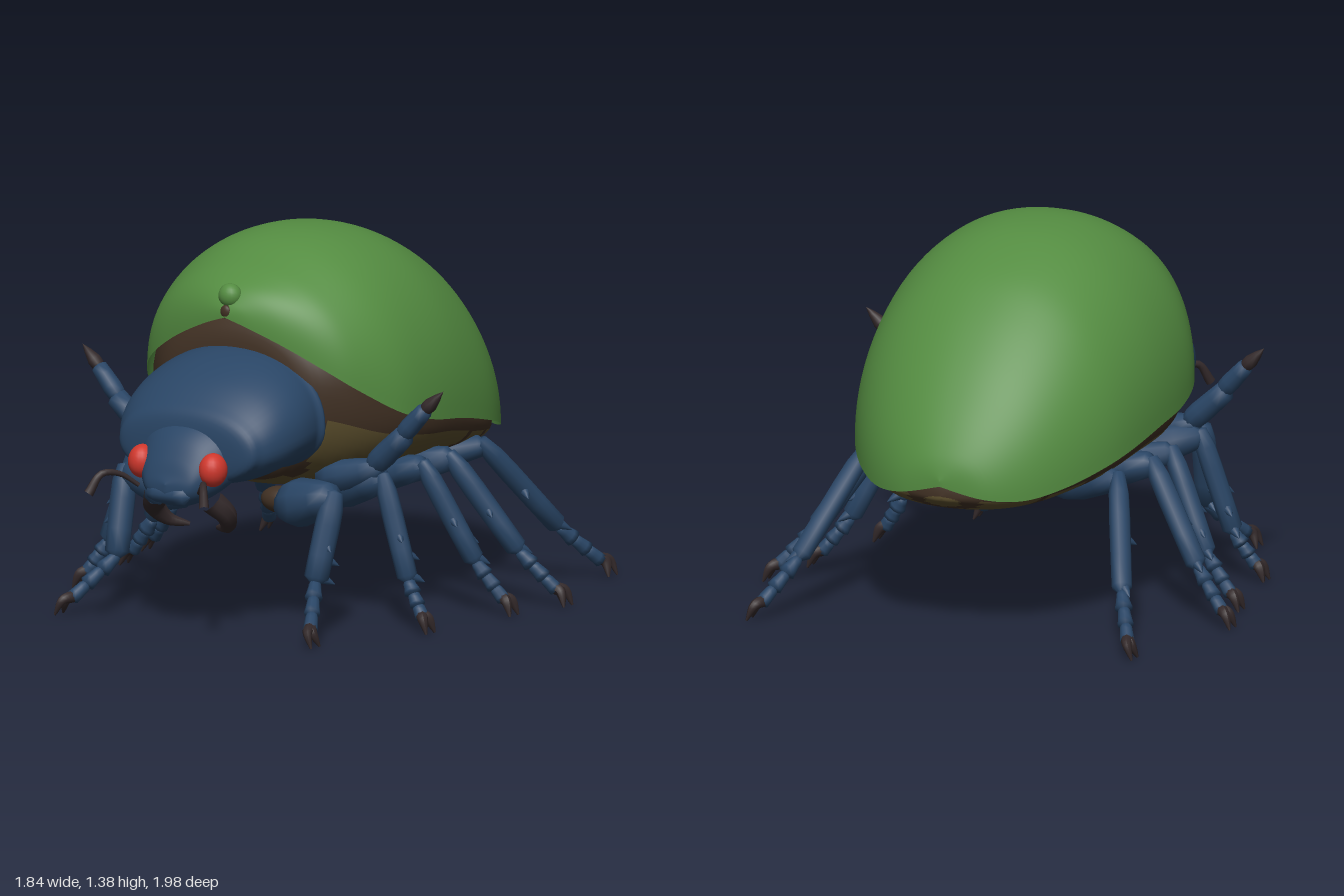
import * as THREE from 'three';
import { mergeVertices } from 'three/addons/utils/BufferGeometryUtils.js';

const mat = (name, color, side = THREE.FrontSide) => {
  const m = new THREE.MeshStandardMaterial({ color, side });
  m.name = name;
  return m;
};

// Smooth interpolation of one column of a section table
function sample(table, t, col) {
  const n = table.length - 1, i = Math.min(Math.floor(t), n - 1), f = t - i;
  const p = k => table[Math.max(0, Math.min(n, k))][col];
  const a = p(i - 1), b = p(i), c = p(i + 1), d = p(i + 2);
  return b + 0.5 * f * (c - a + f * (2 * a - 5 * b + 4 * c - d + f * (3 * (b - c) + d - a)));
}

// Loft through sections [z, half width, top, middle, bottom], front to back.
// pick(z, angle) chooses the material group of each face.
function loft(table, span = Math.PI * 2, pick = () => 0) {
  const step = 6, rows = (table.length - 1) * step, cols = 56, pos = [], lists = [[], []];
  for (let i = 0; i <= rows; i++) {
    const [z, w, top, mid, bot] = [0, 1, 2, 3, 4].map(c => sample(table, i / step, c));
    for (let j = 0; j <= cols; j++) {
      const a = -Math.PI / 2 * (span > 4 ? 1 : 0) + span * j / cols;
      const c = Math.cos(a), s = Math.sin(a);
      pos.push(Math.max(w, 0) * Math.sign(c) * Math.abs(c) ** 0.93,
        mid + (s > 0 ? top - mid : mid - bot) * Math.sign(s) * Math.abs(s) ** 0.93, z);
      if (i < rows && j < cols) {
        const k = i * (cols + 1) + j, r = k + cols + 1;
        lists[pick(z, a)].push(k, r, k + 1, k + 1, r, r + 1);
      }
    }
  }
  let g = new THREE.BufferGeometry();
  g.setAttribute('position', new THREE.Float32BufferAttribute(pos, 3));
  g.setIndex([...lists[0], ...lists[1]]);
  g = mergeVertices(g, 1e-4);
  g.computeVertexNormals();
  if (lists[1].length) {
    g.addGroup(0, lists[0].length, 0);
    g.addGroup(lists[0].length, lists[1].length, 1);
  }
  return g;
}

export function createModel() {
  const root = new THREE.Group();
  root.name = 'beetle';
  const green = mat('shellGreen', 0x548c41, THREE.DoubleSide);
  const blue = mat('armourBlue', 0x294565);
  const brown = mat('bodyBrown', 0x403023);
  const olive = mat('bellyOlive', 0x5c4f2d);
  const black = mat('clawDark', 0x33292a);
  const red = mat('eyeRed', 0xcf372c);

  const add = (name, geo, material, parent = root) => {
    const m = new THREE.Mesh(geo, material);
    m.name = name;
    parent.add(m);
    return m;
  };
  const ball = (name, p, r, material, parent) => {
    const m = add(name, new THREE.SphereGeometry(1, 20, 14), material, parent);
    m.position.set(...p);
    m.scale.set(...r);
    return m;
  };
  // Rounded, tapering piece from a to b
  const limb = (name, a, b, r0, r1, material, parent) => {
    const A = new THREE.Vector3(...a), d = new THREE.Vector3(...b).sub(A), L = d.length();
    const profile = [[0, -r0 * 0.4], [r0 * 0.65, -r0 * 0.2], [r0 * 0.95, L * 0.15], [r0, L * 0.35],
      [(r0 + r1) / 2, L * 0.7], [r1, L * 0.95], [0, L + r1 * 0.4]];
    const m = add(name, new THREE.LatheGeometry(profile.map(p => new THREE.Vector2(...p)), 10), material, parent);
    m.position.copy(A);
    m.quaternion.setFromUnitVectors(new THREE.Vector3(0, 1, 0), d.normalize());
    return m;
  };
  // Curved tapering tube, used for mandibles, antennae and claws
  const horn = (name, pts, r0, r1, material, parent) => {
    const curve = new THREE.CatmullRomCurve3(pts.map(p => new THREE.Vector3(...p)));
    const n = 14, g = new THREE.TubeGeometry(curve, n, 1, 8), P = g.attributes.position;
    for (let i = 0; i <= n; i++) {
      const c = curve.getPointAt(i / n), r = r0 + (r1 - r0) * (i / n) ** 1.5;
      for (let j = 0; j <= 8; j++) {
        const v = new THREE.Vector3().fromBufferAttribute(P, i * 9 + j).sub(c).multiplyScalar(r).add(c);
        P.setXYZ(i * 9 + j, v.x, v.y, v.z);
      }
    }
    g.computeVertexNormals();
    return add(name, g, material, parent);
  };

  // Domed shell, open below
  const shell = [[0.465, 0, 1.13, 1.12], [0.45, 0.1, 1.17, 1.085], [0.41, 0.24, 1.22, 1.02], [0.35, 0.37, 1.26, 0.94],
    [0.27, 0.46, 1.3, 0.865], [0.12, 0.545, 1.36, 0.77], [-0.05, 0.572, 1.38, 0.72], [-0.25, 0.567, 1.355, 0.69],
    [-0.45, 0.537, 1.27, 0.645], [-0.6, 0.487, 1.155, 0.605], [-0.75, 0.4, 0.995, 0.56], [-0.87, 0.29, 0.83, 0.53],
    [-0.95, 0.16, 0.69, 0.54], [-0.977, 0, 0.6, 0.58]].map(r => [...r, r[3]]);
  add('shell', loft(shell, Math.PI), green);
  ball('shellKnob', [0, 1.195, 0.425], [0.045, 0.045, 0.04], green);
  ball('shellNotch', [0, 1.14, 0.455], [0.022, 0.025, 0.013], brown);

  // Body: brown above and in front, mottled olive belly with bands at the rear
  const body = [[0.4, 0, 0.87, 0.86, 0.85], [0.39, 0.27, 1.05, 0.86, 0.56], [0.3, 0.41, 1.15, 0.83, 0.49],
    [0.15, 0.5, 1.23, 0.77, 0.46], [-0.05, 0.54, 1.29, 0.72, 0.475], [-0.25, 0.535, 1.27, 0.69, 0.48],
    [-0.45, 0.5, 1.16, 0.64, 0.47], [-0.6, 0.45, 1.03, 0.61, 0.46], [-0.75, 0.36, 0.88, 0.57, 0.455],
    [-0.87, 0.25, 0.72, 0.545, 0.475], [-0.94, 0.1, 0.6, 0.54, 0.51], [-0.955, 0, 0.54, 0.54, 0.53]];
  const pickBody = (z, a) => {
    const s = Math.sin(a);
    if (s > -0.24 || z > 0.34) return 0;
    if (z < -0.35) return Math.sin(z * 34 + Math.abs(Math.cos(a)) * 2) > 0.82 ? 0 : 1;
    return Math.sin(z * 19) + Math.cos(a * 6) > (z > 0 ? 0.6 : 1.1) ? 0 : 1;
  };
  add('body', loft(body, Math.PI * 2, pickBody), [brown, olive]);

  // Neck shield, head and upper lip
  add('neckShield', loft([[0.745, 0, 0.69, 0.68, 0.67], [0.73, 0.25, 0.8, 0.68, 0.57], [0.68, 0.31, 0.86, 0.69, 0.55],
    [0.6, 0.35, 0.925, 0.71, 0.54], [0.5, 0.367, 0.975, 0.73, 0.55], [0.4, 0.36, 1.0, 0.74, 0.56],
    [0.35, 0.34, 0.98, 0.74, 0.56], [0.33, 0, 0.75, 0.74, 0.73]]), blue);
  add('head', loft([[0.858, 0, 0.57, 0.55, 0.54], [0.845, 0.08, 0.6, 0.56, 0.52], [0.82, 0.12, 0.66, 0.58, 0.49],
    [0.77, 0.16, 0.735, 0.61, 0.48], [0.7, 0.2, 0.785, 0.64, 0.5], [0.6, 0.2, 0.79, 0.66, 0.54]]), blue);
  limb('upperLip', [-0.08, 0.53, 0.825], [0.08, 0.53, 0.825], 0.035, 0.035, blue);

  // Leg layout: name, hip, knee, ankle, foot tip, thigh and shin radius
  const legs = [
    ['frontLeg', [0.22, 0.44, 0.38], [0.45, 0.5, 0.43], [0.43, 0.2, 0.52], [0.53, 0.04, 0.71], 0.09, 0.055],
    ['secondLeg', [0.25, 0.46, 0.14], [0.53, 0.54, 0.22], [0.65, 0.18, 0.24], [0.74, 0.04, 0.27], 0.078, 0.046],
    ['thirdLeg', [0.22, 0.46, -0.1], [0.53, 0.54, -0.05], [0.7, 0.19, -0.13], [0.82, 0.04, -0.16], 0.07, 0.046],
    ['fourthLeg', [0.22, 0.47, -0.2], [0.53, 0.54, -0.23], [0.75, 0.2, -0.34], [0.89, 0.04, -0.41], 0.075, 0.048],
    ['hindLeg', [0.22, 0.47, -0.38], [0.5, 0.54, -0.49], [0.635, 0.2, -0.78], [0.73, 0.04, -0.95], 0.065, 0.046],
  ];

  for (const [label, s] of [['left', 1], ['right', -1]]) {
    const side = new THREE.Group();
    side.name = label + 'Side';
    root.add(side);
    const X = p => [p[0] * s, p[1], p[2]];
    const mix = (a, b, t) => a.map((v, i) => v + (b[i] - v) * t);
    const off = (p, x, y, z) => [p[0] + x, p[1] + y, p[2] + z];

    // Face parts
    ball('eye', X([0.153, 0.627, 0.772]), [0.051, 0.062, 0.056], red, side);
    horn('mandible', [[0.12, 0.5, 0.73], [0.155, 0.45, 0.69], [0.13, 0.395, 0.64], [0.06, 0.375, 0.6]].map(X), 0.046, 0.008, black, side);
    horn('antenna', [[0.13, 0.55, 0.83], [0.18, 0.595, 0.88], [0.22, 0.6, 0.94], [0.25, 0.53, 0.98]].map(X), 0.008, 0.019, black, side);

    for (const [name, hip, knee, ankle, tip, rt, rs] of legs) {
      const leg = new THREE.Group();
      leg.name = name;
      side.add(leg);
      ball('hip', X(off(hip, -0.03, 0.015, 0)), [0.08, 0.05, 0.055], brown, leg);
      limb('thigh', X(hip), X(knee), rt, rt * 0.62, blue, leg);
      limb('shin', X(mix(knee, ankle, -0.03)), X(ankle), rs * 0.85, rs * 0.82, blue, leg);
      // Shin spines
      for (const t of [0.5, 0.7, 0.92]) {
        const p = mix(knee, ankle, t);
        limb('spine', X(p), X(off(p, 0.05, -0.035, t > 0.6 ? -0.045 : 0.035)), 0.02, 0.003, blue, leg);
      }
      // Foot in three beads, then a pair of claws
      for (let i = 0; i < 3; i++)
        limb('footSegment', X(mix(ankle, tip, i * 0.29)), X(mix(ankle, tip, i * 0.29 + 0.29)), 0.024, 0.033 - i * 0.003, blue, leg);
      const end = mix(ankle, tip, 0.82);
      for (const k of [-1, 1])
        horn('claw', [end, off(tip, 0, 0.02, k * 0.015), off(tip, 0.025, -0.035, k * 0.028)].map(X), 0.023, 0.004, black, leg);
    }

    // Raised foreleg
    const arm = new THREE.Group();
    arm.name = 'raisedLeg';
    side.add(arm);
    limb('thigh', X([0.28, 0.52, 0.24]), X([0.52, 0.58, 0.22]), 0.06, 0.04, blue, arm);
    limb('shin', X([0.48, 0.58, 0.22]), X([0.63, 0.72, 0.225]), 0.045, 0.04, blue, arm);
    limb('footSegment', X([0.61, 0.71, 0.225]), X([0.71, 0.82, 0.215]), 0.036, 0.03, blue, arm);
    limb('claw', X([0.7, 0.81, 0.215]), X([0.78, 0.89, 0.21]), 0.026, 0.003, black, arm);
  }
  return root;
}
